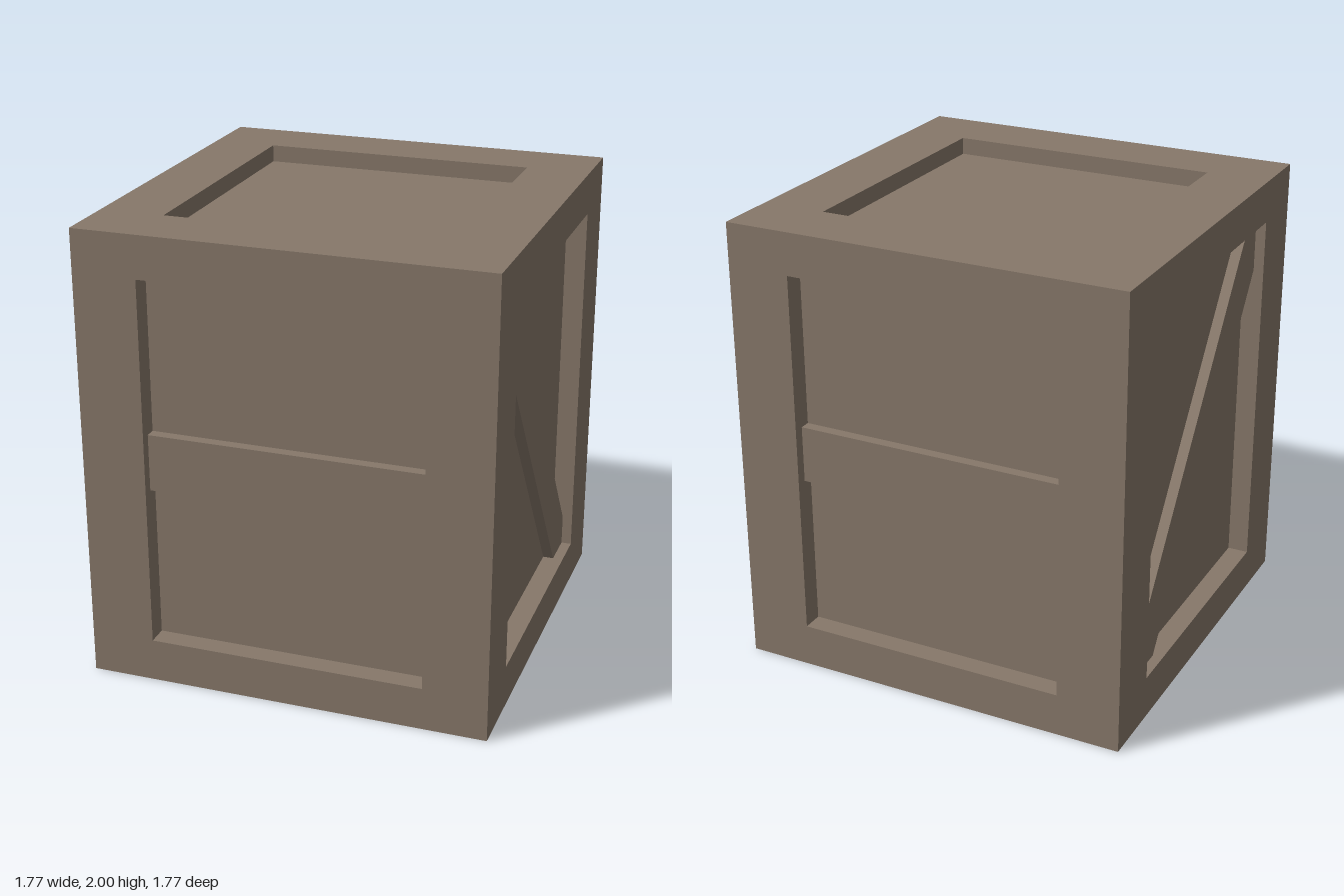
import * as THREE from 'three';

// Overall half sizes, height, and recess depths
const HX = 0.883, HZ = 0.886, H = 2;
const DEPTH = 0.092, TOP_DEPTH = 0.075, BRACE_INSET = 0.045;
const OPEN = 0.603, OPEN_LOW = 0.19, OPEN_HIGH = 1.815;

const polygon = (points) => new THREE.Shape(points.map(([x, y]) => new THREE.Vector2(x, y)));
const rect = (x, y0, y1) => polygon([[-x, y0], [x, y0], [x, y1], [-x, y1]]);

const extrude = (shape, depth) =>
  new THREE.ExtrudeGeometry(shape, { depth, bevelEnabled: false });

// Rectangular frame with a rectangular opening, lying in the xy plane
function frame(x, y0, y1, holeY0, holeY1, depth) {
  const shape = rect(x, y0, y1);
  shape.holes.push(rect(OPEN, holeY0, holeY1));
  return extrude(shape, depth);
}

export function createModel() {
  const group = new THREE.Group();
  const wood = new THREE.MeshStandardMaterial({ color: 0x87786a });
  wood.name = 'wood';

  const add = (name, geometry, parent = group) => {
    const mesh = new THREE.Mesh(geometry, wood);
    mesh.name = name;
    parent.add(mesh);
    return mesh;
  };

  // Inner box whose faces are the recessed panels
  const coreX = HX - DEPTH, coreZ = HZ - DEPTH, coreH = H - TOP_DEPTH;
  add('innerBox', new THREE.BoxGeometry(2 * coreX, coreH, 2 * coreZ)).position.y = coreH / 2;

  // Front and back: frame with a level brace
  const endFrame = frame(HX, 0, H, OPEN_LOW, OPEN_HIGH, DEPTH);
  const levelBrace = extrude(rect(OPEN, 0.88, 1.13), DEPTH - BRACE_INSET);
  for (const [side, turn] of [['front', 0], ['back', Math.PI]]) {
    const face = new THREE.Group();
    face.name = side + 'Face';
    add(side + 'Frame', endFrame, face).position.z = coreZ;
    add(side + 'Brace', levelBrace, face).position.z = coreZ;
    face.rotation.y = turn;
    group.add(face);
  }

  // Left and right: frame with a diagonal brace, high end towards the front on both
  const sideFrame = frame(coreZ, 0, H, OPEN_LOW, OPEN_HIGH, DEPTH);
  const diagonal = [
    [-OPEN, 1.59], [-OPEN, OPEN_HIGH], [-0.5, OPEN_HIGH],
    [OPEN, 0.325], [OPEN, OPEN_LOW], [0.43, OPEN_LOW],
  ];
  for (const [side, sign] of [['left', 1], ['right', -1]]) {
    const face = new THREE.Group();
    face.name = side + 'Face';
    add(side + 'Frame', sideFrame, face).position.z = coreX;
    const points = diagonal.map(([x, y]) => [x * sign, y]);
    add(side + 'DiagonalBrace', extrude(polygon(points), DEPTH - BRACE_INSET), face).position.z = coreX;
    face.rotation.y = sign * Math.PI / 2;
    group.add(face);
  }

  // Top frame fitted between the four side frames
  const topFrame = add('topFrame', frame(coreX, -coreZ, coreZ, -OPEN, OPEN, TOP_DEPTH));
  topFrame.rotation.x = -Math.PI / 2;
  topFrame.position.y = coreH;

  return group;
}
